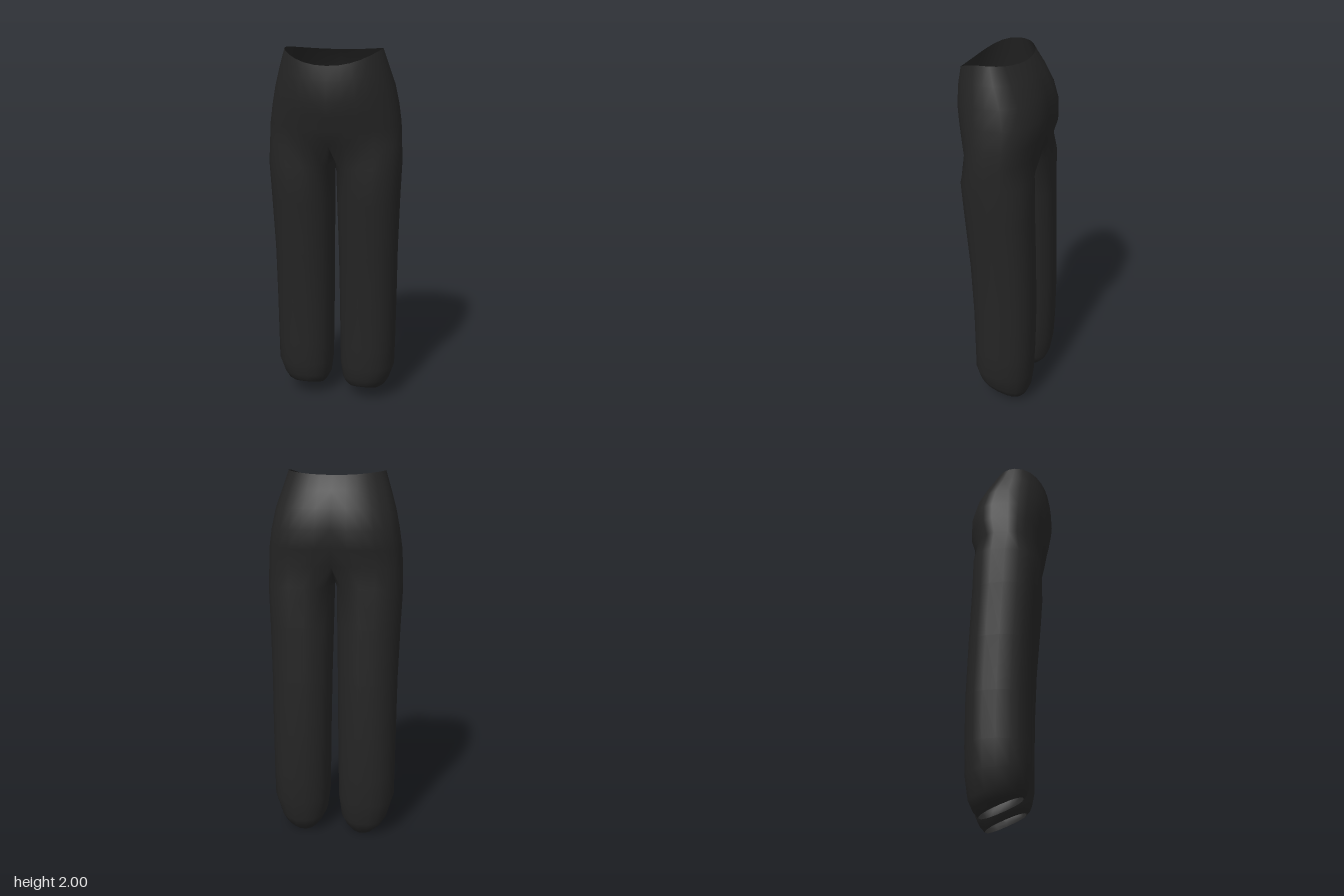
import * as THREE from 'three';
import { mergeVertices } from 'three/addons/utils/BufferGeometryUtils.js';

const K = 14;   // steps around the outside of each half, front centre to back centre
const INNER = 5; // points along the crotch seam, back to front

const spow = (v, p) => Math.sign(v) * Math.pow(Math.abs(v), p);
const mix = THREE.MathUtils.lerp;

// Hip rows: [yFront, ySide, yBack, halfWidth, zFront, zBack, zWidest, backPower, cleft]
const HIPS = [
  [1.925, 2.0, 1.982, 0.257, 0.22, -0.115, 0.03, 1, 0],
  [1.85, 1.91, 1.91, 0.285, 0.232, -0.165, 0.02, 0.85, 0],
  [1.75, 1.81, 1.82, 0.315, 0.236, -0.207, 0.0, 0.7, 0.005],
  [1.67, 1.71, 1.72, 0.335, 0.22, -0.233, 0.0, 0.62, 0.012],
  [1.6, 1.61, 1.62, 0.35, 0.203, -0.232, 0.0, 0.62, 0.016],
  [1.52, 1.51, 1.53, 0.357, 0.187, -0.203, 0.0, 0.65, 0.006],
];

// Leg rows: [yFront, yBack, xInner, xOuter, zFront, zBack]
const LEGS = [
  [1.39, 1.41, 0.008, 0.361, 0.171, -0.2],
  [1.2, 1.2, 0.012, 0.353, 0.157, -0.205],
  [0.9, 0.9, 0.018, 0.344, 0.131, -0.217],
  [0.6, 0.6, 0.022, 0.342, 0.116, -0.226],
  [0.35, 0.35, 0.025, 0.34, 0.112, -0.225],
  [0.22, 0.2, 0.027, 0.338, 0.11, -0.22],
  [0.145, 0.08, 0.04, 0.307, 0.096, -0.203],
  [0.112, 0.035, 0.06, 0.283, 0.083, -0.182],
  [0.095, 0.002, 0.085, 0.25, 0.068, -0.152],
];

// Half a hip ring, from front centre round the side to back centre
function hipRow([yF, yS, yB, w, zF, zB, zm, pb, cleft]) {
  const row = [];
  for (let u = 0; u <= K; u++) {
    const t = (u / K) * Math.PI, c = Math.cos(t);
    const x = u % K === 0 ? 0 : w * Math.pow(Math.sin(t), 0.92);
    const front = c > 0;
    const z = front ? zm + (zF - zm) * Math.pow(c, 0.9) : zm + (zB - zm) * Math.pow(-c, pb);
    const y = mix(yS, front ? yF : yB, c * c);
    row.push([x, y, z + (front ? 0 : cleft * Math.exp(-((x / 0.06) ** 2)))]);
  }
  return row;
}

// Crotch seam on the centre plane, joining the back of the last hip row to its front
function crotchSeam(row) {
  const a = row[K], b = row[0];
  return Array.from({ length: INNER }, (_, i) => {
    const k = (i + 1) / (INNER + 1);
    return [0, mix(a[1], b[1], k) - 0.09 * Math.sin(k * Math.PI), mix(a[2], b[2], k)];
  });
}

// Closed leg ring whose points line up with the hip half ring plus the seam
function legRow([yF, yB, xi, xo, zF, zB]) {
  const row = [], start = -0.85, span = Math.PI + 1.7;
  for (let u = 0; u < K + 1 + INNER; u++) {
    const t = u <= K
      ? start + (u / K) * span
      : start + span + ((u - K) / (INNER + 1)) * (2 * Math.PI - span);
    const s = spow(Math.sin(t), 0.85), c = spow(Math.cos(t), 0.85);
    row.push([
      (xi + xo) / 2 + ((xo - xi) / 2) * s,
      mix(yB, yF, (c + 1) / 2),
      (zF + zB) / 2 + ((zF - zB) / 2) * c,
    ]);
  }
  return row;
}

// Stitch rows of points into a strip of quads, on the given side of the body
function stitch(rows, closed, side, out) {
  for (let r = 0; r + 1 < rows.length; r++) {
    const n = rows[r].length;
    for (let u = 0; u < (closed ? n : n - 1); u++) {
      const v = (u + 1) % n;
      const a = rows[r][u], b = rows[r][v], c = rows[r + 1][u], d = rows[r + 1][v];
      const corners = side > 0 ? [a, c, b, b, c, d] : [a, b, c, b, d, c];
      for (const p of corners) out.push(p[0] * side, p[1], p[2]);
    }
  }
}

export function createModel() {
  const group = new THREE.Group();
  group.name = 'trousers';
  const cloth = new THREE.MeshStandardMaterial({ color: 0x242424, side: THREE.DoubleSide });
  cloth.name = 'black cloth';

  const hips = HIPS.map(hipRow);
  const last = hips[hips.length - 1];
  const legs = [[...last, ...crotchSeam(last)], ...LEGS.map(legRow)];

  // Both halves are welded into one smooth, open garment
  const positions = [];
  for (const side of [1, -1]) {
    stitch(hips, false, side, positions);
    stitch(legs, true, side, positions);
  }
  const raw = new THREE.BufferGeometry();
  raw.setAttribute('position', new THREE.Float32BufferAttribute(positions, 3));
  const geometry = mergeVertices(raw, 1e-4);
  geometry.computeVertexNormals();

  const mesh = new THREE.Mesh(geometry, cloth);
  mesh.name = 'hipsAndLegs';
  group.add(mesh);
  return group;
}
